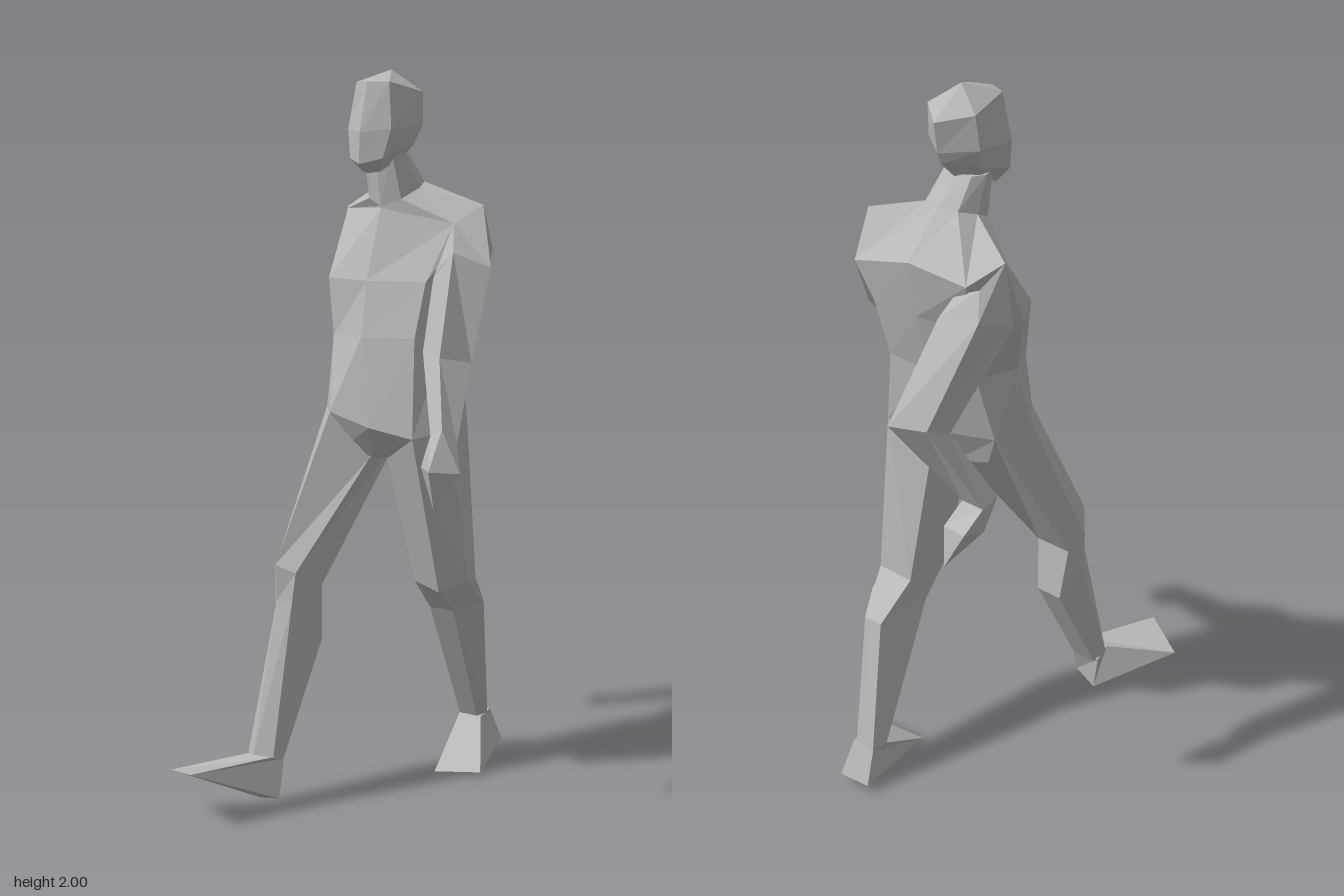
import * as THREE from 'three';

const grey = new THREE.MeshStandardMaterial({ color: 0xb8b8b8, flatShading: true });
grey.name = 'clay grey';

// Skins a list of point rings into a closed faceted solid; a one-point ring makes a tip.
function loft(name, rings) {
  const n = rings[0].length;
  const full = rings.map((r) => (r.length === 1 ? Array(n).fill(r[0]) : r));
  const tris = [];
  for (let k = 0; k + 1 < full.length; k++) {
    for (let i = 0; i < n; i++) {
      const j = (i + 1) % n;
      const [a, b, c, d] = [full[k][i], full[k][j], full[k + 1][j], full[k + 1][i]];
      tris.push([a, b, c], [a, c, d]);
    }
  }
  const centre = (r) => [0, 1, 2].map((m) => r.reduce((s, p) => s + p[m], 0) / n);
  const first = full[0], last = full[full.length - 1];
  for (let i = 0; i < n; i++) {
    const j = (i + 1) % n;
    tris.push([first[j], first[i], centre(first)], [last[i], last[j], centre(last)]);
  }
  // Face outwards whichever way the rings run
  const origin = centre(first);
  let volume = 0;
  for (const t of tris) {
    const [a, b, c] = t.map((p) => new THREE.Vector3(...p.map((v, m) => v - origin[m])));
    volume += a.dot(b.cross(c));
  }
  const ordered = volume < 0 ? tris.map(([a, b, c]) => [a, c, b]) : tris;
  const geo = new THREE.BufferGeometry();
  geo.setAttribute('position', new THREE.Float32BufferAttribute(ordered.flat(2), 3));
  geo.computeVertexNormals();
  const mesh = new THREE.Mesh(geo, grey);
  mesh.name = name;
  return mesh;
}

// Six-sided head level, symmetric about the face's centre line
const HEAD_X = -0.073;
function headRing(front, cheek, temple, back) {
  const side = (s, [w, y, z]) => [HEAD_X + s * w, y, z];
  return [[HEAD_X, ...front], side(1, cheek), side(1, temple),
    [HEAD_X, ...back], side(-1, temple), side(-1, cheek)];
}

export function createModel() {
  const figure = new THREE.Group();
  figure.name = 'walkingFigure';

  // Torso: crotch, hips, waist, chest, shoulders, neck base
  // (each ring: front right, centre, left, side, back left, centre, right, side)
  const crotch = [[-0.1, 0.98, 0], [-0.04, 0.94, -0.03], [0.05, 0.95, -0.05], [0.1, 0.97, -0.12],
    [0.1, 0.97, -0.2], [-0.04, 0.94, -0.16], [-0.15, 0.97, -0.15], [-0.17, 0.99, -0.06]];
  const hips = [[-0.135, 1.07, 0.042], [-0.01, 1.035, 0.032], [0.115, 1.01, 0], [0.165, 1.03, -0.11],
    [0.135, 1.04, -0.235], [-0.03, 1.05, -0.22], [-0.19, 1.06, -0.17], [-0.215, 1.07, -0.05]];
  const waist = [[-0.195, 1.27, -0.055], [-0.05, 1.28, 0.008], [0.1, 1.28, -0.03], [0.12, 1.27, -0.14],
    [0.1, 1.25, -0.255], [-0.05, 1.25, -0.265], [-0.17, 1.25, -0.22], [-0.21, 1.25, -0.11]];
  const chest = [[-0.215, 1.43, -0.06], [-0.06, 1.43, -0.028], [0.105, 1.43, -0.075], [0.13, 1.43, -0.2],
    [0.12, 1.41, -0.29], [-0.05, 1.42, -0.31], [-0.21, 1.42, -0.29], [-0.285, 1.43, -0.17]];
  const shoulders = [[-0.285, 1.615, -0.24], [-0.065, 1.625, -0.1], [0.13, 1.585, -0.17], [0.18, 1.635, -0.24],
    [0.17, 1.51, -0.305], [-0.06, 1.58, -0.345], [-0.25, 1.57, -0.345], [-0.3, 1.62, -0.26]];
  const neckBase = [[-0.12, 1.65, -0.12], [-0.065, 1.63, -0.1], [-0.01, 1.65, -0.12], [0.01, 1.68, -0.18],
    [-0.01, 1.695, -0.23], [-0.065, 1.7, -0.24], [-0.12, 1.695, -0.23], [-0.14, 1.68, -0.18]];
  figure.add(loft('torso', [crotch, hips, waist, chest, shoulders, neckBase]));

  // Neck rises forward into the head
  const neckTop = neckBase.map(([x, , z]) => [HEAD_X + (x + 0.065) * 0.85, 1.772, -0.135 + (z + 0.17) * 0.72]);
  figure.add(loft('neck', [neckBase, neckTop]));

  // Head
  figure.add(loft('head', [
    headRing([1.72, -0.05], [0.03, 1.725, -0.07], [0.05, 1.765, -0.15], [1.765, -0.19]),
    headRing([1.745, -0.012], [0.055, 1.76, -0.045], [0.07, 1.8, -0.17], [1.81, -0.238]),
    headRing([1.83, -0.015], [0.073, 1.84, -0.06], [0.085, 1.85, -0.19], [1.84, -0.25]),
    headRing([1.965, -0.05], [0.055, 1.965, -0.075], [0.078, 1.94, -0.2], [1.92, -0.262]),
    [[-0.08, 2, -0.17]],
  ]));

  // Arms: shoulder, upper arm, elbow, wrist; then hands
  // (each ring: front inner, front outer, back outer, back inner)
  const leftWrist = [[0.255, 1.05, 0.115], [0.295, 1.07, 0.12], [0.315, 1.03, 0.08], [0.265, 1.01, 0.075]];
  figure.add(loft('leftArm', [
    [[0.1, 1.44, -0.1], [0.13, 1.585, -0.17], [0.18, 1.635, -0.24], [0.17, 1.51, -0.305]],
    [[0.112, 1.44, -0.1], [0.17, 1.51, -0.11], [0.245, 1.47, -0.18], [0.16, 1.39, -0.27]],
    [[0.135, 1.25, -0.02], [0.21, 1.24, 0.01], [0.245, 1.22, -0.09], [0.16, 1.2, -0.105]],
    leftWrist,
  ]));
  figure.add(loft('leftHand', [leftWrist,
    [[0.243, 0.97, 0.14], [0.305, 0.97, 0.195], [0.352, 0.96, 0.12], [0.28, 0.95, 0.085]],
    [[0.295, 0.86, 0.155]]]));

  const rightWrist = [[-0.3, 1.03, -0.335], [-0.35, 1.03, -0.34], [-0.345, 1.01, -0.39], [-0.275, 1.01, -0.39]];
  figure.add(loft('rightArm', [
    [[-0.26, 1.43, -0.18], [-0.3, 1.62, -0.26], [-0.285, 1.57, -0.335], [-0.2, 1.53, -0.33]],
    [[-0.225, 1.39, -0.29], [-0.312, 1.45, -0.24], [-0.312, 1.5, -0.37], [-0.2, 1.49, -0.39]],
    [[-0.2, 1.21, -0.43], [-0.28, 1.22, -0.44], [-0.27, 1.25, -0.51], [-0.178, 1.25, -0.55]],
    rightWrist,
  ]));
  figure.add(loft('rightHand', [rightWrist,
    [[-0.29, 0.92, -0.365], [-0.34, 0.94, -0.38], [-0.34, 0.96, -0.455], [-0.258, 0.95, -0.44]],
    [[-0.28, 0.85, -0.465]]]));

  // Legs: hip, knee, calf, ankle
  // (each ring: front inner, front outer, side, back outer, back inner)
  figure.add(loft('leftLeg', [
    [[0, 0.95, -0.04], [0.115, 1.01, 0], [0.165, 1.03, -0.11], [0.135, 1.04, -0.235], [0, 0.97, -0.21]],
    [[0.025, 0.58, -0.14], [0.115, 0.56, -0.13], [0.165, 0.59, -0.2], [0.145, 0.58, -0.27], [0.03, 0.58, -0.27]],
    [[0.03, 0.49, -0.21], [0.11, 0.49, -0.21], [0.16, 0.51, -0.29], [0.095, 0.49, -0.385], [0.035, 0.49, -0.385]],
    [[0, 0.12, -0.41], [0.06, 0.12, -0.41], [0.083, 0.13, -0.43], [0.06, 0.13, -0.468], [0, 0.12, -0.465]],
  ]));
  figure.add(loft('rightLeg', [
    [[-0.045, 0.94, -0.02], [-0.135, 1.07, 0.04], [-0.215, 1.07, -0.05], [-0.19, 1.06, -0.17], [-0.06, 0.96, -0.16]],
    [[-0.115, 0.65, 0.22], [-0.17, 0.67, 0.24], [-0.238, 0.64, 0.16], [-0.22, 0.6, 0.11], [-0.11, 0.6, 0.11]],
    [[-0.12, 0.57, 0.23], [-0.17, 0.57, 0.235], [-0.228, 0.52, 0.17], [-0.2, 0.44, 0.1], [-0.12, 0.44, 0.1]],
    [[-0.125, 0.15, 0.31], [-0.18, 0.155, 0.33], [-0.213, 0.15, 0.31], [-0.2, 0.13, 0.27], [-0.125, 0.13, 0.27]],
  ]));

  // Feet: ankle down to a wedge sole (toe inner, toe outer, heel outer, heel inner)
  figure.add(loft('leftFoot', [
    [[0, 0.12, -0.41], [0.075, 0.12, -0.41], [0.068, 0.13, -0.47], [0, 0.12, -0.465]],
    [[0.045, 0, -0.215], [0.18, 0.015, -0.25], [0.08, 0.03, -0.515], [-0.01, 0.025, -0.5]],
  ]));
  figure.add(loft('rightFoot', [
    [[-0.125, 0.155, 0.32], [-0.2, 0.155, 0.33], [-0.21, 0.14, 0.275], [-0.12, 0.14, 0.27]],
    [[-0.21, 0.153, 0.55], [-0.345, 0.12, 0.48], [-0.185, 0.02, 0.292], [-0.105, 0.04, 0.31]],
  ]));

  return figure;
}
